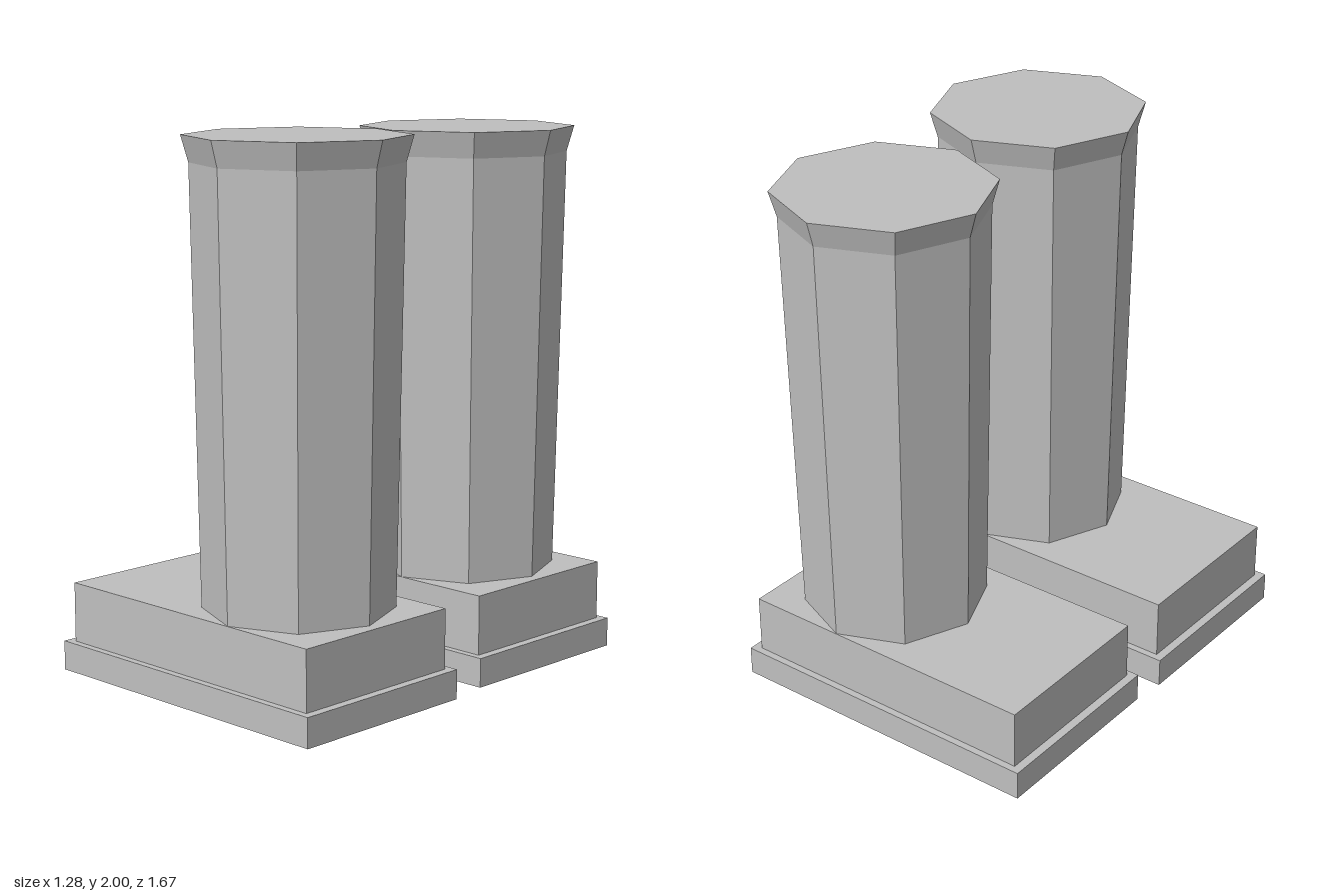
import * as THREE from 'three';

const grey = new THREE.MeshStandardMaterial({ color: 0xbfbfbf, flatShading: true });
grey.name = 'plain grey';

// A block spanning the heights y0 to y1, centred on the boot
function block(name, width, depth, y0, y1) {
  const mesh = new THREE.Mesh(new THREE.BoxGeometry(width, y1 - y0, depth), grey);
  mesh.name = name;
  mesh.position.y = (y0 + y1) / 2;
  return mesh;
}

// An eight-sided tapered ring or column standing over the heel
function octagon(name, bottomRadius, topRadius, y0, y1, open) {
  const geometry = new THREE.CylinderGeometry(topRadius, bottomRadius, y1 - y0, 8, 1, open);
  const mesh = new THREE.Mesh(geometry, grey);
  mesh.name = name;
  mesh.position.set(0.22, (y0 + y1) / 2, 0);
  return mesh;
}

// One boot, toe towards -x
function createBoot(name) {
  const boot = new THREE.Group();
  boot.name = name;
  boot.add(
    block('sole', 1.276, 0.748, 0, 0.11),
    block('foot', 1.21, 0.694, 0.11, 0.333),
    octagon('shaft', 0.345, 0.373, 0.333, 1.905, true),
    octagon('cuff', 0.373, 0.4, 1.905, 2, false),
  );
  return boot;
}

export function createModel() {
  const model = new THREE.Group();
  model.name = 'pair of boots';

  const frontBoot = createBoot('frontBoot');
  frontBoot.position.set(-0.002, 0, 0.435);

  // The second boot is slightly smaller
  const backBoot = createBoot('backBoot');
  backBoot.scale.setScalar(0.99);
  backBoot.position.set(-0.002, 0.01, -0.444);

  model.add(frontBoot, backBoot);
  return model;
}
